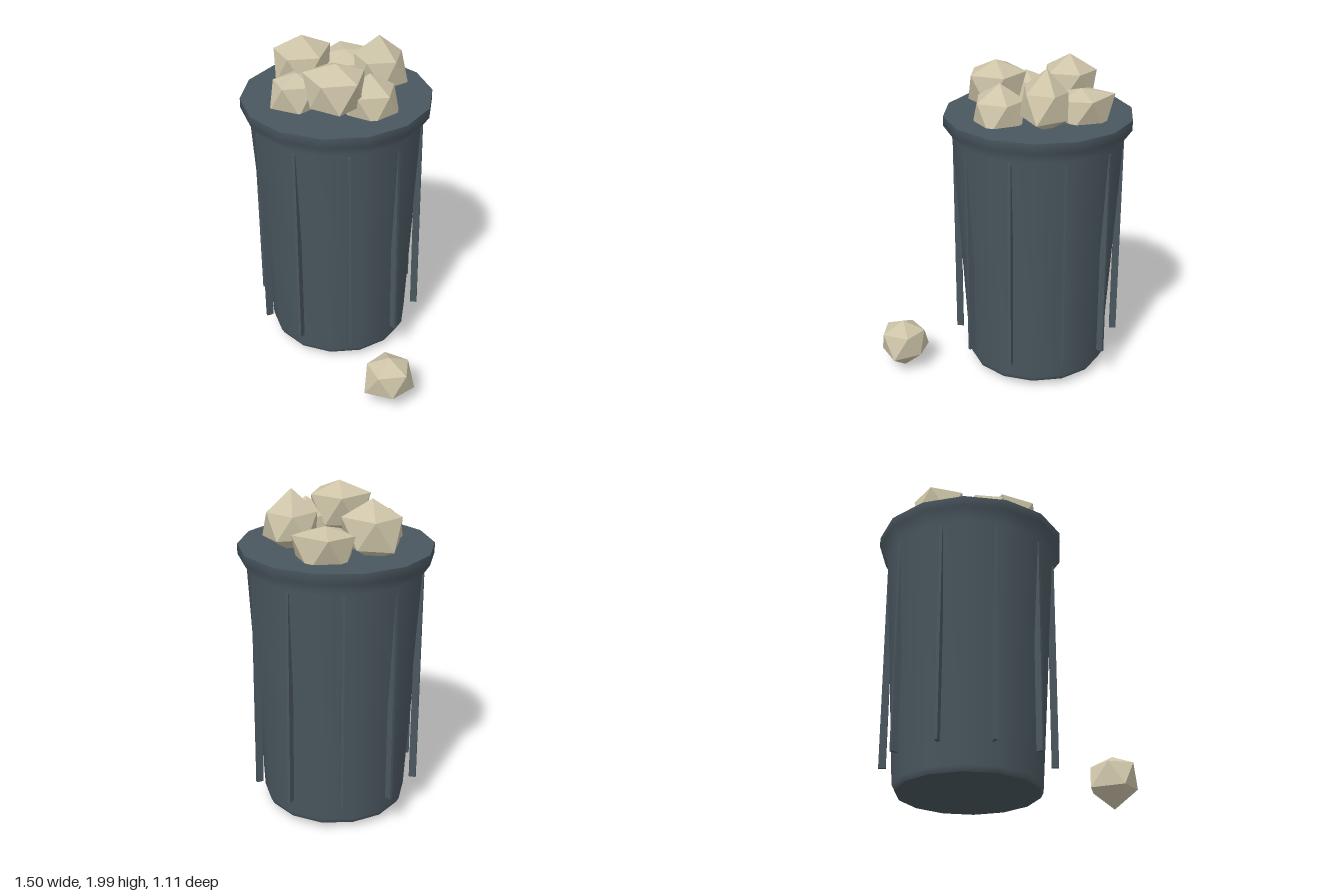
import * as THREE from 'three';

const BIN_X = -0.183;
const SIDES = 14;

const binGrey = new THREE.MeshStandardMaterial({ color: 0x4a575f });
binGrey.name = 'binGrey';
const rockBeige = new THREE.MeshStandardMaterial({ color: 0xcdc4a8, flatShading: true });
rockBeige.name = 'rockBeige';

function addMesh(parent, name, geometry, material) {
  const mesh = new THREE.Mesh(geometry, material);
  mesh.name = name;
  parent.add(mesh);
  return mesh;
}

// Uneven twenty-sided rock: top and bottom points joined by two staggered rings of five
function rockGeometry(top, bottom, upper, lower) {
  const points = [0, top, 0];
  const ring = (radii, turn, side) => radii.forEach((r, i) => {
    const a = (i + turn) * Math.PI * 2 / 5;
    points.push(r * Math.cos(a), side * r / 2, r * Math.sin(a));
  });
  ring(upper, 0, 1);
  ring(lower, 0.5, -1);
  points.push(0, -bottom, 0);

  const faces = [];
  for (let i = 0; i < 5; i++) {
    const u = 1 + i, u2 = 1 + (i + 1) % 5, l = 6 + i, l2 = 6 + (i + 1) % 5;
    faces.push(0, u2, u, u, u2, l, l, u2, l2, 11, l, l2);
  }
  const indexed = new THREE.BufferGeometry();
  indexed.setAttribute('position', new THREE.Float32BufferAttribute(points, 3));
  indexed.setIndex(faces);
  const geometry = indexed.toNonIndexed();
  geometry.computeVertexNormals();
  return geometry;
}

// name, centre, top height, bottom depth, upper ring radii, lower ring radii
const ROCKS = [
  ['rockRight', [-0.44, 1.79, 0.04], 0.18, 0.17, [0.158, 0.168, 0.17, 0.163, 0.187], [0.16, 0.17, 0.182, 0.16, 0.16]],
  ['rockBackRight', [-0.335, 1.705, -0.21], 0.13, 0.17, [0.15, 0.16, 0.17, 0.2, 0.2], [0.155, 0.15, 0.165, 0.17, 0.165]],
  ['rockBackLeft', [-0.068, 1.8, -0.235], 0.2, 0.17, [0.14, 0.155, 0.15, 0.125, 0.15], [0.15, 0.15, 0.14, 0.15, 0.173]],
  ['rockLeft', [0.093, 1.71, 0], 0.175, 0.17, [0.155, 0.16, 0.15, 0.15, 0.155], [0.16, 0.155, 0.16, 0.155, 0.175]],
  ['rockFrontLeft', [0, 1.81, 0.18], 0.16, 0.15, [0.175, 0.165, 0.19, 0.18, 0.18], [0.165, 0.16, 0.165, 0.16, 0.16]],
  ['rockFrontRight', [-0.263, 1.73, 0.243], 0.12, 0.16, [0.152, 0.155, 0.137, 0.14, 0.15], [0.155, 0.17, 0.153, 0.16, 0.155]],
  ['rockOnGround', [0.606, 0.2, 0.344], 0.13, 0.19, [0.144, 0.138, 0.131, 0.131, 0.13], [0.14, 0.162, 0.176, 0.138, 0.155]],
];

export function createModel() {
  const model = new THREE.Group();
  model.name = 'filledBin';

  const bin = new THREE.Group();
  bin.name = 'bin';
  bin.position.x = BIN_X;
  model.add(bin);

  // Tapered body with a rounded foot and flared rim
  const profile = [[0.417, 0.047], [0.434, 0.08], [0.518, 1.53], [0.569, 1.603], [0.569, 1.663]]
    .map(([r, y]) => new THREE.Vector2(r, y));
  addMesh(bin, 'body', new THREE.LatheGeometry(profile, SIDES, Math.PI / 2), binGrey);

  // Flat top and base
  const lid = addMesh(bin, 'topDisc', new THREE.CircleGeometry(0.569, SIDES), binGrey);
  lid.rotation.x = -Math.PI / 2;
  lid.position.y = 1.663;
  const base = addMesh(bin, 'base', new THREE.CircleGeometry(0.417, SIDES), binGrey);
  base.rotation.x = Math.PI / 2;
  base.position.y = 0.047;

  // Ten upright ribs around the body
  const ribGeometry = new THREE.BoxGeometry(0.042, 1.31, 0.018);
  for (let i = 0; i < 10; i++) {
    const a = i * Math.PI / 5;
    const rib = addMesh(bin, 'rib', ribGeometry, binGrey);
    rib.position.set(0.494 * Math.cos(a), 0.855, 0.494 * Math.sin(a));
    rib.rotation.y = -a;
  }

  // Heaped rocks and one fallen beside the bin
  for (const [name, centre, ...shape] of ROCKS) {
    addMesh(model, name, rockGeometry(...shape), rockBeige).position.set(...centre);
  }
  return model;
}
